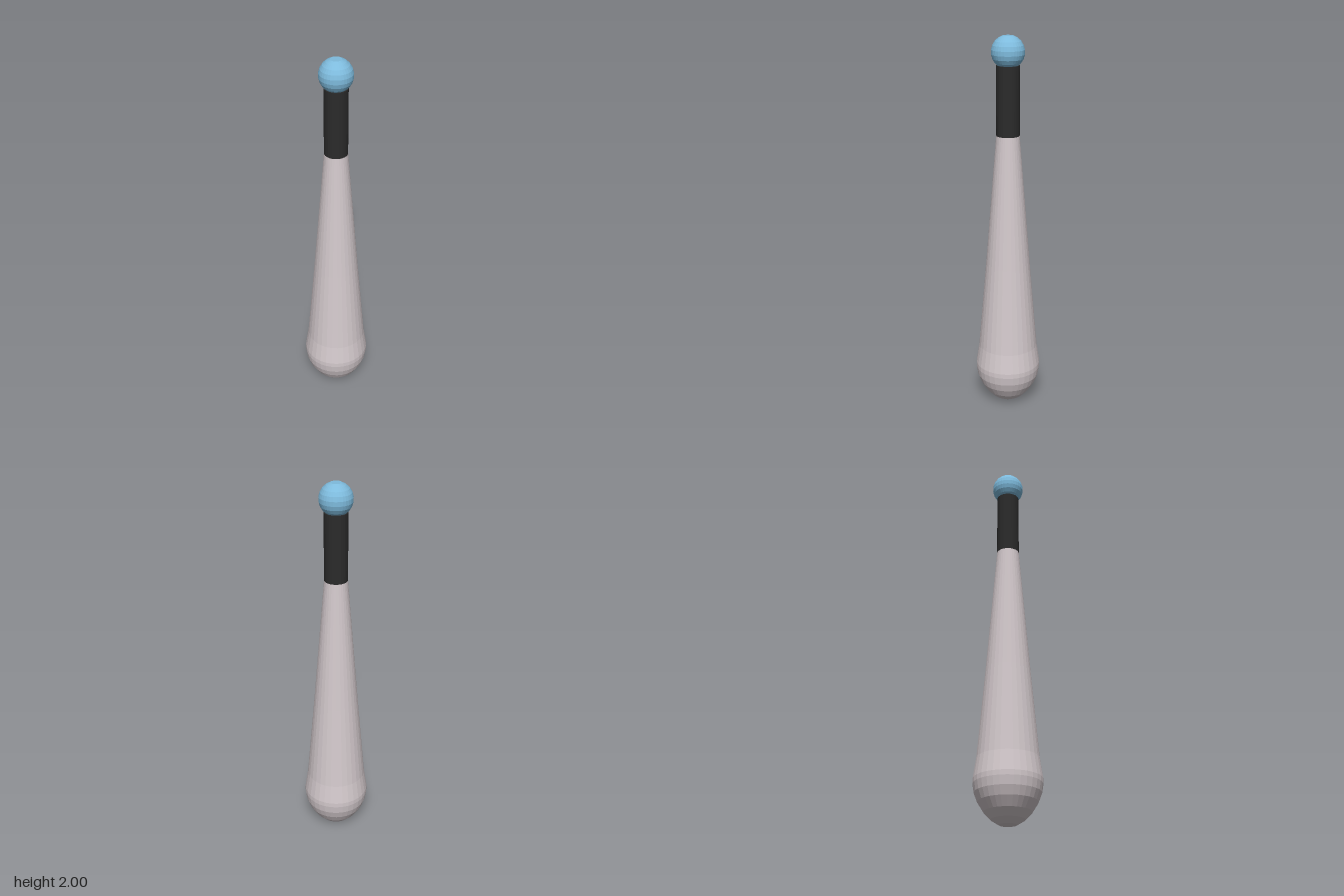
import * as THREE from 'three';

const SIDES = 32;

// Flat-shaded solid of revolution from [radius, height] pairs, bottom to top
function turned(name, profile, material) {
  const points = profile.map(([r, y]) => new THREE.Vector2(r, y));
  const geometry = new THREE.LatheGeometry(points, SIDES).toNonIndexed();
  geometry.computeVertexNormals();
  const mesh = new THREE.Mesh(geometry, material);
  mesh.name = name;
  return mesh;
}

export function createModel() {
  const paleGrey = new THREE.MeshStandardMaterial({ color: 0xd3c9cc });
  paleGrey.name = 'pale grey';
  const black = new THREE.MeshStandardMaterial({ color: 0x2b2b2b });
  black.name = 'grip black';
  const blue = new THREE.MeshStandardMaterial({ color: 0x7ebbdd });
  blue.name = 'sky blue';

  const group = new THREE.Group();
  group.name = 'club';

  // Tapered body with a rounded, slightly bulging foot
  group.add(turned('body', [
    [0, 0], [0.045, 0], [0.085, 0.025], [0.12, 0.062], [0.15, 0.11],
    [0.167, 0.155], [0.174, 0.2], [0.174, 0.225], [0.158, 0.33],
    [0.117, 0.8], [0.074, 1.33], [0.06, 1.5], [0, 1.5],
  ], paleGrey));

  // Straight dark grip
  group.add(turned('grip', [[0, 1.5], [0.06, 1.5], [0.06, 1.855], [0, 1.855]], black));

  // Round knob with flattened ends
  const knob = [[0, 1.85]];
  const centre = 1.92, radius = 0.085;
  for (let i = 0; i <= 8; i++) {
    const a = THREE.MathUtils.lerp(-0.96, 1.23, i / 8);
    knob.push([radius * Math.cos(a), centre + radius * Math.sin(a)]);
  }
  knob.push([0, 2]);
  group.add(turned('knob', knob, blue));

  return group;
}
